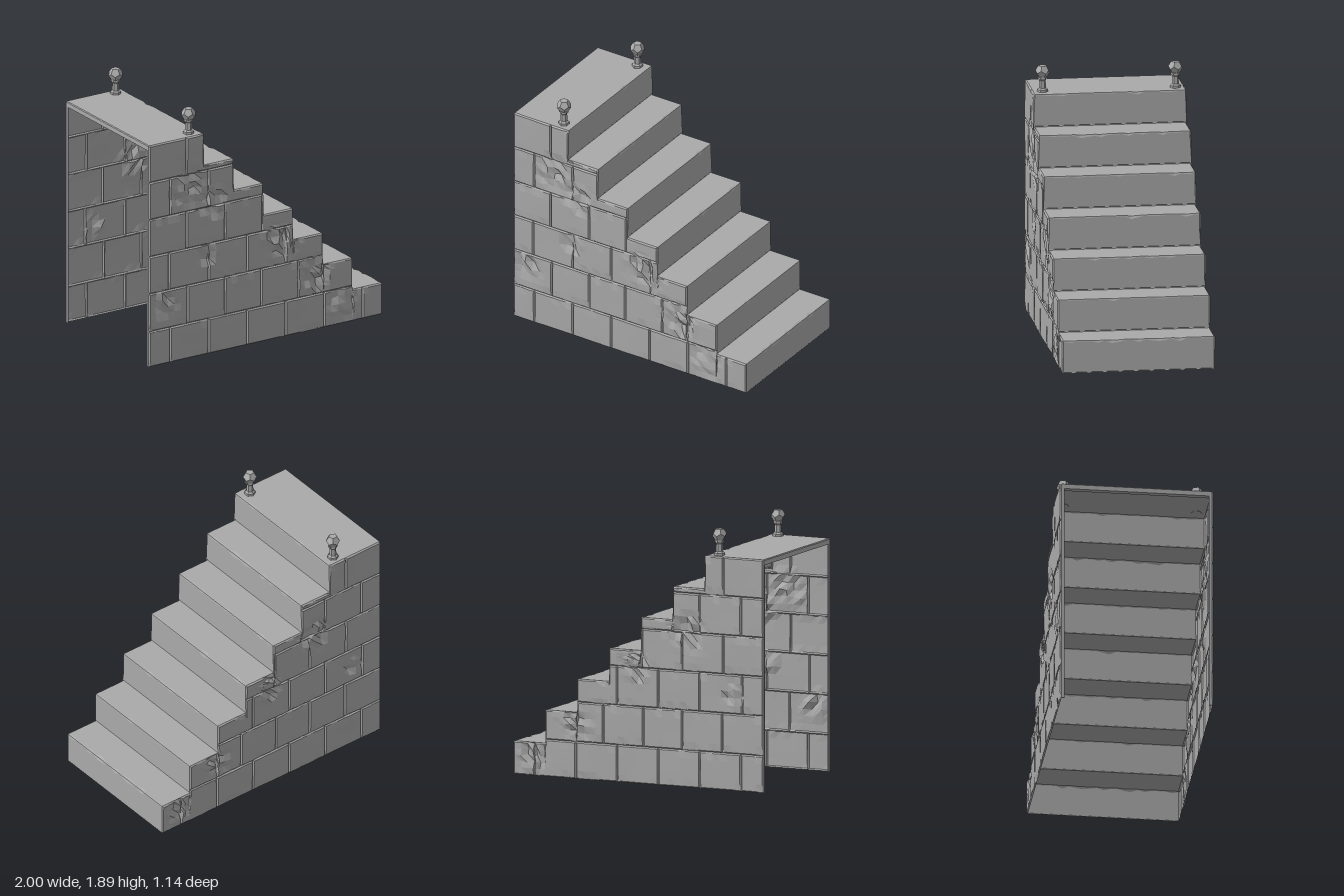
import * as THREE from 'three';

const stone = new THREE.MeshStandardMaterial({ color: 0xaaaaaa, flatShading: true, side: THREE.DoubleSide });
stone.name = 'grey stone';

const STEPS = 7, RUN = 0.255, RISE = 1.7 / STEPS, HALF = 0.557, GROOVE = 0.546;
const stepX = i => 1 - RUN * (STEPS - 1 - i);   // nose of step i, counted from the top
const stepY = i => 1.7 - RISE * i;              // tread height of step i

// Repeatable value from 0 to 1 for a position
const hash = (a, b, c = 0) => {
  const s = Math.sin(a * 127.1 + b * 311.7 + c * 74.7) * 43758.5453;
  return s - Math.floor(s);
};

// Surface through a list of equally long point rows
function sheet(name, rows) {
  const n = rows[0].length, index = [];
  for (let i = 0; i < rows.length - 1; i++) {
    for (let j = 0; j < n - 1; j++) {
      const a = i * n + j, b = a + n;
      index.push(a, b, a + 1, b, b + 1, a + 1);
    }
  }
  const g = new THREE.BufferGeometry();
  g.setAttribute('position', new THREE.Float32BufferAttribute(rows.flat(2), 3));
  g.setIndex(index);
  const flat = g.toNonIndexed();
  flat.computeVertexNormals();
  return part(name, flat);
}

function part(name, geometry, x = 0, y = 0, z = 0) {
  const m = new THREE.Mesh(geometry, stone);
  m.name = name;
  m.position.set(x, y, z);
  return m;
}

// Courses from the ground up: inner joints along x
const COURSES = [
  [-0.82, -0.49, -0.16, 0.17, 0.5, 0.83],
  [-0.67, -0.35, -0.04, 0.28],
  [-0.83, -0.49, -0.16, 0.17],
  [-0.68, -0.35, -0.03],
  [-0.82, -0.49],
  [-0.68],
];
const COURSE_Y = [0, 0.27, 0.56, 0.845, 1.13, 1.415, 1.7];

// Weathered patches: x, y, radius
const WORN = {
  1: [[-0.68, 1.3, 0.17], [-0.45, 1.15, 0.16], [0.1, 0.72, 0.17], [0.42, 0.42, 0.17],
    [0.65, 0.17, 0.15], [-0.87, 0.45, 0.12], [-0.5, 0.75, 0.1]],
  '-1': [[-0.4, 1.12, 0.17], [0.02, 0.85, 0.14], [0.5, 0.4, 0.15], [0.85, 0.15, 0.14], [-0.75, 0.7, 0.1]],
};

// One bevelled, slightly uneven brick, trimmed by the stair outline
function brick(x0, x1, y0, y1, side) {
  const bevel = 0.009;
  const step = [...Array(STEPS).keys()].find(i => stepY(i + 1) < y1 - 0.001); // last full-height step
  const cut = stepX(step), low = stepY(step + 1);
  const cols = [];
  const span = (a, b, topY) => {
    const n = Math.max(2, Math.round((b - a) / 0.055));
    cols.push([a, topY]);
    for (let i = 0; i <= n; i++) cols.push([a + bevel + (b - a - 2 * bevel) * i / n, topY]);
    cols.push([b, topY]);
  };
  if (x1 <= cut + 0.001) span(x0, x1, y1);
  else if (x0 >= cut) span(x0, x1, low);
  else { span(x0, cut, y1); span(cut, x1, low); }

  const rows = cols.map(([x, topY]) => {
    const h = topY - y0, b = Math.min(bevel, h * 0.25), out = [];
    const ys = [y0];
    for (let k = 0; k <= 5; k++) ys.push(y0 + b + (h - 2 * b) * k / 5);
    ys.push(topY);
    ys.forEach((y, j) => {
      const atCut = Math.abs(x - cut) < 1e-6;
      const rim = j === 0 || j === ys.length - 1 || x === x0 || x === x1 || (atCut && y > low - 0.005);
      let px = x, py = y, z = GROOVE;
      if (!rim) {
        z = HALF + 0.002 * Math.sin(7 * x + 3 * side) * Math.cos(9 * y);
        for (const [cx, cy, r] of WORN[side]) {
          const k = Math.max(0, 1 - Math.hypot(x - cx, y - cy) / r);
          if (k > 0) {
            const s = Math.min(1, 2 * k);
            z += s * (0.012 - 0.038 * hash(x, y, side));
            if (!atCut && j > 1 && j < ys.length - 2) {
              px += s * 0.02 * (hash(y, x, 2) - 0.5);
              py += s * 0.02 * (hash(x, y, 5) - 0.5);
            }
          }
        }
        if (j === 1 || j === ys.length - 2) z -= 0.008 * hash(x, y, 9) ** 4;   // chipped edge
      }
      out.push([px, py, z * side]);
    });
    return side > 0 ? out : out.reverse();
  });
  return sheet('brick', rows);
}

function sideWall(side) {
  const wall = new THREE.Group();
  wall.name = side > 0 ? 'frontWall' : 'backWall';
  COURSES.forEach((joints, r) => {
    const y0 = COURSE_Y[r], y1 = COURSE_Y[r + 1];
    const end = stepX([...Array(STEPS).keys()].filter(i => stepY(i) > y0 + 0.01).pop());
    const xs = [-1, ...joints, end];
    for (let i = 0; i < xs.length - 1; i++) wall.add(brick(xs[i], xs[i + 1], y0, y1, side));
  });
  // Narrow return along the open end
  wall.add(part('wallEdge', new THREE.BoxGeometry(0.008, 1.68, 0.022), -0.995, 0.84, side * 0.536));
  return wall;
}

// Treads and risers as one folded sheet with worn noses
function stairs() {
  const N = 22, rows = [];
  for (let s = 0; s <= N; s++) {
    const z = GROOVE * (1 - 2 * s / N);
    const row = [[-0.97, 1.655, z], [-1, 1.66, z], [-1, 1.694, z], [-0.994, 1.7, z]];
    for (let i = 0; i < STEPS; i++) {
      const x = stepX(i), y = stepY(i);
      const chip = 0.005 + (s % N ? 0.022 * hash(s, i) ** 6 : 0);
      row.push([x - chip - 0.004, y, z], [x - chip * 0.35, y - chip * 0.35, z], [x, y - chip - 0.004, z]);
      const foot = i < STEPS - 1 ? stepY(i + 1) : 0;
      row.push([x, foot + 0.008, z], [x - 0.006, foot + 0.004, z], [x - 0.004, foot, z]);
    }
    rows.push(row);
  }
  return sheet('treadsAndRisers', rows);
}

// Small post with a faceted ball
function finial(z) {
  const g = new THREE.Group();
  g.name = 'finial';
  const profile = [[0, 0], [0.04, 0], [0.04, 0.018], [0.026, 0.03], [0.023, 0.085], [0.034, 0.1], [0.034, 0.112], [0, 0.125]]
    .map(p => new THREE.Vector2(...p));
  g.add(part('post', new THREE.LatheGeometry(profile, 6)));
  const ball = part('ball', new THREE.DodecahedronGeometry(0.053), 0, 0.152, 0);
  ball.rotation.x = -0.5536;
  g.add(ball);
  g.position.set(-0.615, 1.698, z);
  return g;
}

export function createModel() {
  const model = new THREE.Group();
  model.name = 'stoneStaircase';
  model.add(stairs(), sideWall(1), sideWall(-1), finial(0.48), finial(-0.485));
  return model;
}
